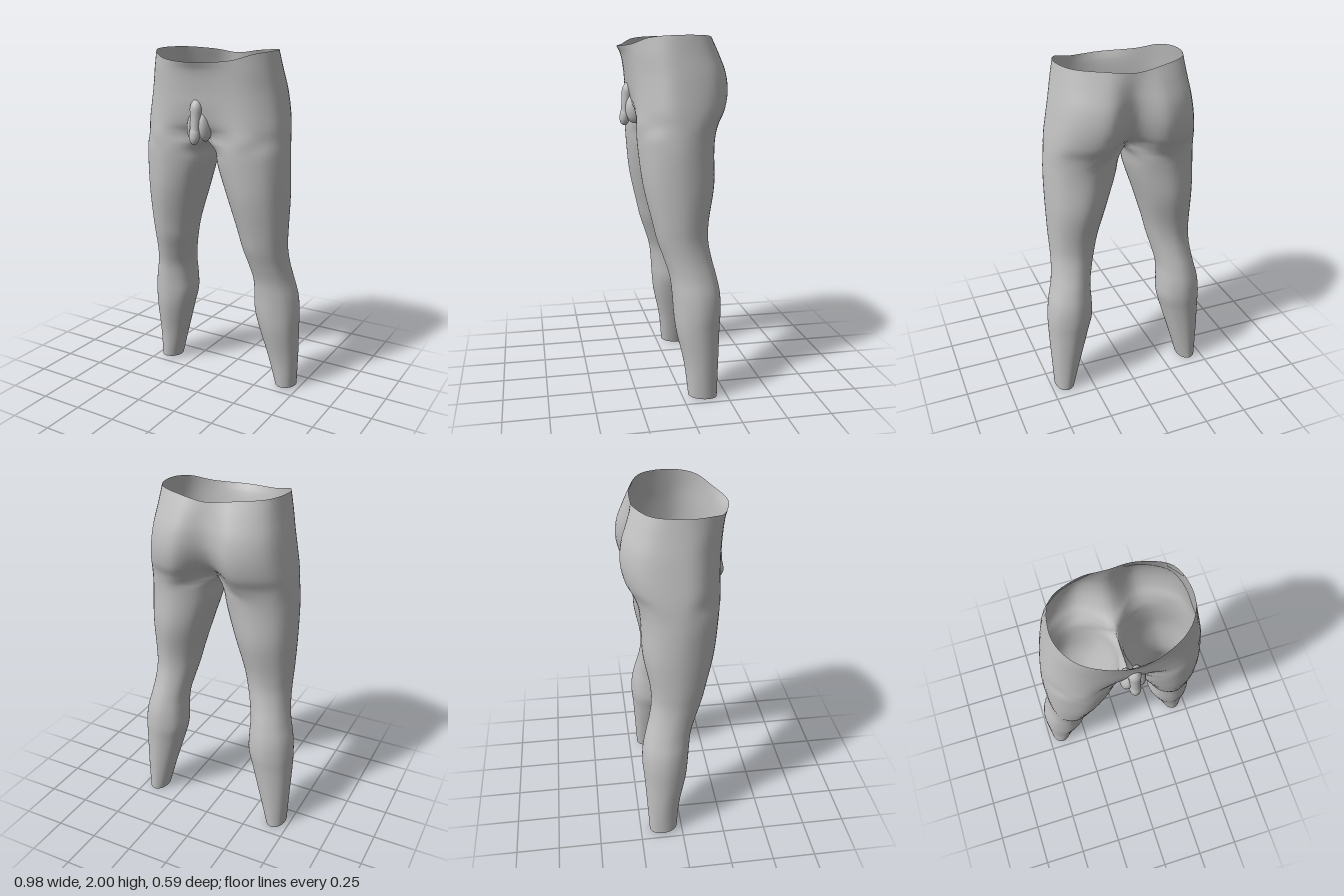
import * as THREE from 'three';
import { mergeVertices } from 'three/addons/utils/BufferGeometryUtils.js';

// Leg sections, ankle upward: [y, inner x, outer x, front z, back z]
const LEG = [
  [0.01, 0.355, 0.474, -0.03, -0.195],
  [0.2, 0.302, 0.482, -0.01, -0.205],
  [0.4, 0.245, 0.487, 0.032, -0.216],
  [0.5, 0.22, 0.487, 0.043, -0.224],
  [0.6, 0.22, 0.476, 0.05, -0.22],
  [0.7, 0.22, 0.452, 0.062, -0.2],
  [0.8, 0.2, 0.436, 0.092, -0.175],
  [0.9, 0.174, 0.431, 0.126, -0.16],
  [1.0, 0.15, 0.435, 0.15, -0.165],
  [1.2, 0.09, 0.44, 0.195, -0.2],
  [1.38, 0.032, 0.44, 0.216, -0.204],
  [1.46, 0.018, 0.436, 0.222, -0.211],
];
// Pelvis sections: [y, outer x, front middle z, front z, side z, back z, back middle z]
const PELVIS = [
  [1.53, 0.43, 0.15, 0.224, 0.01, -0.235, -0.09],
  [1.6, 0.422, 0.205, 0.222, 0.02, -0.274, -0.17],
  [1.7, 0.405, 0.235, 0.222, 0.02, -0.295, -0.22],
  [1.8, 0.387, 0.25, 0.226, 0.02, -0.286, -0.235],
  [1.9, 0.368, 0.272, 0.235, 0.03, -0.25, -0.228],
  [2.0, 0.35, 0.295, 0.243, 0.03, -0.21, -0.22],
];
const RING = [[-0.72, 0.7], [0, 1], [0.72, 0.7], [1, 0], [0.72, -0.7], [0, -1], [-0.72, -0.7], [-1, 0]];
const RIM_DIP = [0.055, 0.045, 0.012, 0, 0, 0.012, 0.03, 0];
const PER = 6, STEPS = 5;

// Eight control points around a leg section
function legRing([y, xi, xo, zf, zb], row) {
  return RING.map(([a, b]) => new THREE.Vector3(
    (xi + xo) / 2 + a * (xo - xi) / 2,
    y + (row === 0 ? b * 0.008 : 0),
    (zf + zb) / 2 + b * (zf - zb) / 2));
}

// Eight control points around half the pelvis; the last lies on the middle plane
function pelvisRing([y, xo, zf0, zf, zo, zb, zb0], row) {
  const dip = row === PELVIS.length - 1 ? 1 : 0;
  return [
    [0, zf0], [0.55 * xo, zf], [0.87 * xo, zo + 0.62 * (zf - zo)], [xo, zo],
    [0.87 * xo, zo + 0.68 * (zb - zo)], [0.42 * xo, zb], [0, zb0], [0, (zf0 + zb0) / 2],
  ].map(([x, z], i) => new THREE.Vector3(x, y - dip * RIM_DIP[i], z));
}

function spline(a, b, c, d, t) {
  const f = (p, q, r, s) => q + 0.5 * t * (r - p + t * (2 * p - 5 * q + 4 * r - s + t * (3 * (q - r) + s - p)));
  return [Math.max(0, f(a.x, b.x, c.x, d.x)), f(a.y, b.y, c.y, d.y), f(a.z, b.z, c.z, d.z)];
}

// Smooth open shell for both legs and hips
function bodyGeometry() {
  const rings = [...LEG.map(legRing), ...PELVIS.map(pelvisRing)];
  const columns = RING.map((_, i) => new THREE.CatmullRomCurve3(rings.map(r => r[i])));
  const rows = (rings.length - 1) * STEPS, n = 8 * PER, crotch = LEG.length * STEPS;
  const pos = [], index = [];
  const mirror = v => new THREE.Vector3(-v.x, v.y, v.z);
  for (let r = 0; r <= rows; r++) {
    const p = columns.map(c => c.getPoint(r / rows));
    // Level the tangents across the middle line above the crotch
    const w = THREE.MathUtils.clamp((r - crotch) / STEPS + 0.4, 0, 1);
    const front = p[7].clone().lerp(mirror(p[1]), w), back = p[7].clone().lerp(mirror(p[5]), w);
    for (let s = 0; s < 8; s++) {
      const before = s === 0 ? front : p[(s + 7) % 8], after = s === 5 ? back : p[(s + 2) % 8];
      for (let k = 0; k < PER; k++) pos.push(...spline(before, p[s], p[(s + 1) % 8], after, k / PER));
    }
  }
  const half = pos.length / 3;
  for (let i = 0; i < half; i++) pos.push(-pos[3 * i], pos[3 * i + 1], pos[3 * i + 2]);
  for (let r = 0; r < rows; r++) {
    for (let j = 0; j < n; j++) {
      if (r >= crotch && j >= 6 * PER) continue; // no wall inside the pelvis
      const a = r * n + j, b = r * n + (j + 1) % n, c = b + n, d = a + n;
      index.push(a, b, c, a, c, d);
      index.push(a + half, c + half, b + half, a + half, d + half, c + half);
    }
  }
  let g = new THREE.BufferGeometry();
  g.setAttribute('position', new THREE.Float32BufferAttribute(pos, 3));
  g.setIndex(index);
  g = mergeVertices(g, 1e-4);
  g.computeVertexNormals();
  return g;
}

export function createModel() {
  const group = new THREE.Group();
  const skin = new THREE.MeshStandardMaterial({ color: 0xc0c0c0, side: THREE.DoubleSide });
  skin.name = 'plain grey';
  const add = (name, geometry, x = 0, y = 0, z = 0) => {
    const mesh = new THREE.Mesh(geometry, skin);
    mesh.name = name;
    mesh.position.set(x, y, z);
    group.add(mesh);
    return mesh;
  };

  add('legsAndHips', bodyGeometry());

  // Simple anatomical forms at the front of the pelvis
  const profile = [[0, 0], [0.016, 0.006], [0.028, 0.03], [0.03, 0.06], [0.027, 0.085], [0.03, 0.15], [0.034, 0.2], [0.02, 0.235], [0, 0.245]]
    .map(([x, y]) => new THREE.Vector2(x, y));
  const smooth = new THREE.SplineCurve(profile).getPoints(28).map(p => new THREE.Vector2(Math.max(0, p.x), p.y));
  const middle = add('frontAnatomyMiddle', new THREE.LatheGeometry(smooth, 20), 0, 1.505, 0.261);
  middle.rotation.x = -0.13;
  for (const side of [-1, 1]) {
    const lobe = add(side > 0 ? 'frontAnatomyLeft' : 'frontAnatomyRight', new THREE.SphereGeometry(1, 20, 14), side * 0.033, 1.6, 0.205);
    lobe.scale.set(0.034, 0.082, 0.05);
    lobe.rotation.z = side * 0.12;
  }
  return group;
}
